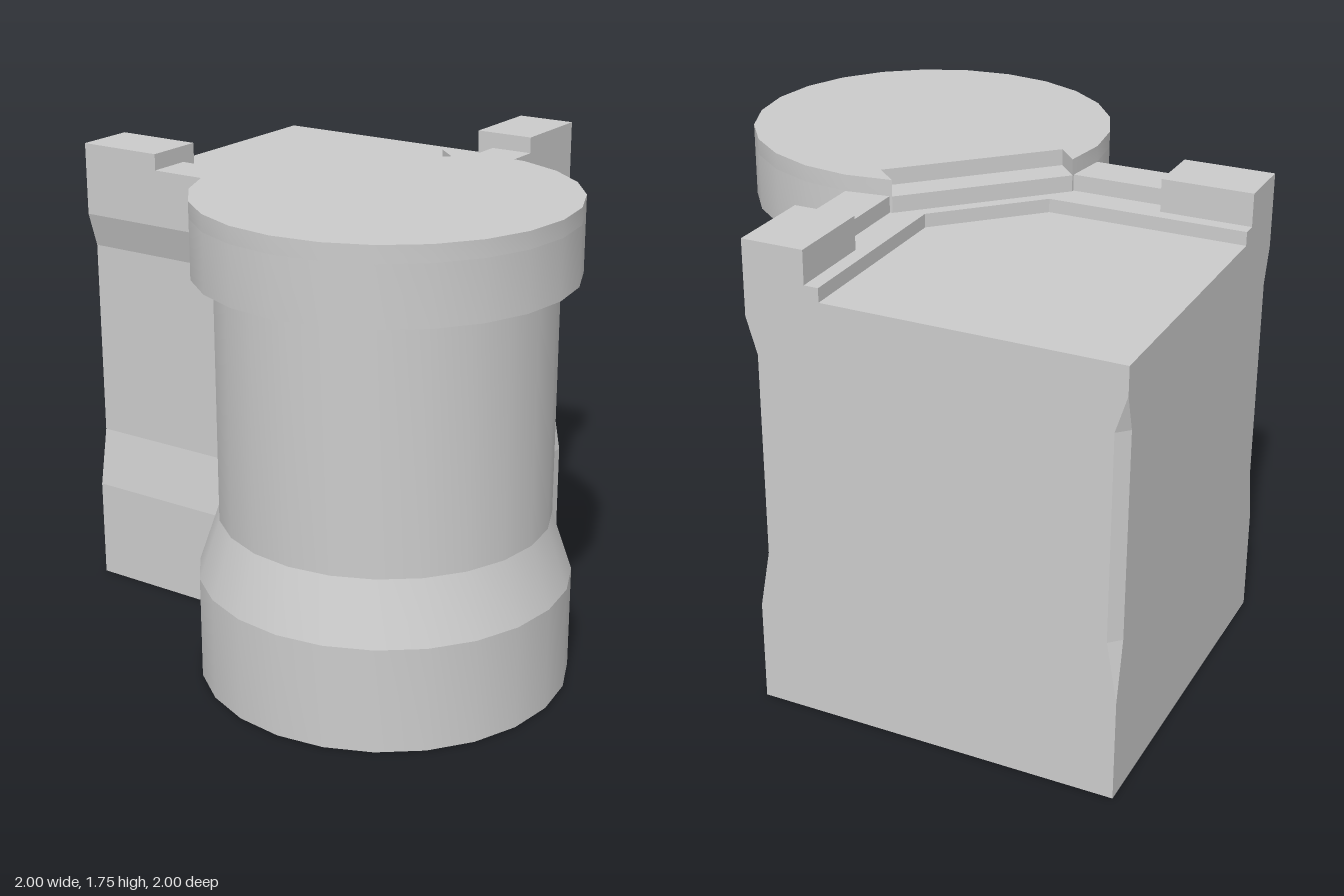
import * as THREE from 'three';
import { toCreasedNormals } from 'three/addons/utils/BufferGeometryUtils.js';

const C = 0.333; // tower centre in x and z, also the outer wall plane
const R = 0.667; // tower base and rim radius
const SIDES = 24;

const material = new THREE.MeshStandardMaterial({ color: 0xcccccc });

function add(parent, name, geometry) {
  const mesh = new THREE.Mesh(geometry, material);
  mesh.name = name;
  parent.add(mesh);
  return mesh;
}

// Upright slab from a plan outline of [x, z] points
function slab(points, y0, y1) {
  const shape = new THREE.Shape(points.map(([x, z]) => new THREE.Vector2(x, -z)));
  return new THREE.ExtrudeGeometry(shape, { depth: y1 - y0, bevelEnabled: false })
    .rotateX(-Math.PI / 2)
    .translate(0, y0, 0);
}

// Swap x and z, for the diagonally mirrored wall
const swap = (points) => points.map(([x, z]) => [z, x]);

// Wall plan with its outer faces and back corner drawn in by d
const wallPlan = (d) => [
  [-1, -1 + d], [-1, C - d], [C - d, C - d], [C - d, -1], [-1 + d, -1],
];

// Solid lofted through wall plans at [height, inset] levels
function wallLoft(levels) {
  const rings = levels.map(([y, d]) => wallPlan(d).map(([x, z]) => new THREE.Vector3(x, y, z)));
  const pos = [];
  const tri = (a, b, c) => {
    if (a.distanceTo(b) < 1e-6 || b.distanceTo(c) < 1e-6 || c.distanceTo(a) < 1e-6) return;
    for (const v of [a, b, c]) pos.push(v.x, v.y, v.z);
  };
  const n = rings[0].length;
  for (let k = 0; k < rings.length - 1; k++) {
    for (let i = 0; i < n; i++) {
      const j = (i + 1) % n;
      const lo = rings[k], hi = rings[k + 1];
      tri(lo[i], lo[j], hi[j]);
      tri(lo[i], hi[j], hi[i]);
    }
  }
  const bottom = rings[0], top = rings[rings.length - 1];
  for (let i = 1; i < n - 1; i++) {
    tri(bottom[0], bottom[i + 1], bottom[i]);
    tri(top[0], top[i], top[i + 1]);
  }
  const geometry = new THREE.BufferGeometry();
  geometry.setAttribute('position', new THREE.Float32BufferAttribute(pos, 3));
  geometry.computeVertexNormals();
  return geometry;
}

export function createModel() {
  const model = new THREE.Group();
  model.name = 'cornerTower';

  // Wall block with a flared foot and head, flat walkway on top
  add(model, 'wallBlock', wallLoft([
    [0, 0], [0.38, 0], [0.6, 0.04], [1.35, 0.04], [1.48, 0], [1.58, 0],
  ]));

  // Low step around the walkway, cut diagonally at the tower
  add(model, 'walkwayStep', slab([
    [-1, 0.055], [-1, C], [C, C], [C, -1], [0.055, -1], [0.055, -0.27], [-0.27, 0.055],
  ], 1.58, 1.63));

  // Parapet and end merlon on each wall
  const parapet = [[0.17, -0.667], [0.17, -0.3], [C, -0.3], [C, -0.667]];
  const merlon = [[0.107, -1], [0.107, -0.667], [C, -0.667], [C, -1]];
  for (const [side, place] of [['left', (p) => p], ['front', swap]]) {
    add(model, side + 'Parapet', slab(place(parapet), 1.63, 1.69));
    add(model, side + 'Merlon', slab(place(merlon), 1.63, 1.75));
  }

  // Round tower shaft with a wider base
  const profile = [[0, 0], [R, 0], [R, 0.38], [0.592, 0.6], [0.592, 1.5]]
    .map(([r, y]) => new THREE.Vector2(r, y));
  const shaft = new THREE.LatheGeometry(profile, SIDES).translate(C, 0, C);
  add(model, 'towerShaft', toCreasedNormals(shaft, 0.29));

  // Tower rim: the circle cut straight where it meets the walkway
  const arc = [];
  for (let deg = -105; deg <= 195; deg += 360 / SIDES) {
    const a = THREE.MathUtils.degToRad(deg);
    arc.push([C + R * Math.cos(a), C + R * Math.sin(a)]);
  }
  add(model, 'towerRim', toCreasedNormals(slab(arc, 1.48, 1.69), 0.29));

  // Top layer, with a shallow notch along the straight cut
  const notch = [[-0.235, 0.245], [0.245, -0.235]];
  add(model, 'towerTop', toCreasedNormals(slab([...arc, ...notch], 1.69, 1.75), 0.29));

  return model;
}
